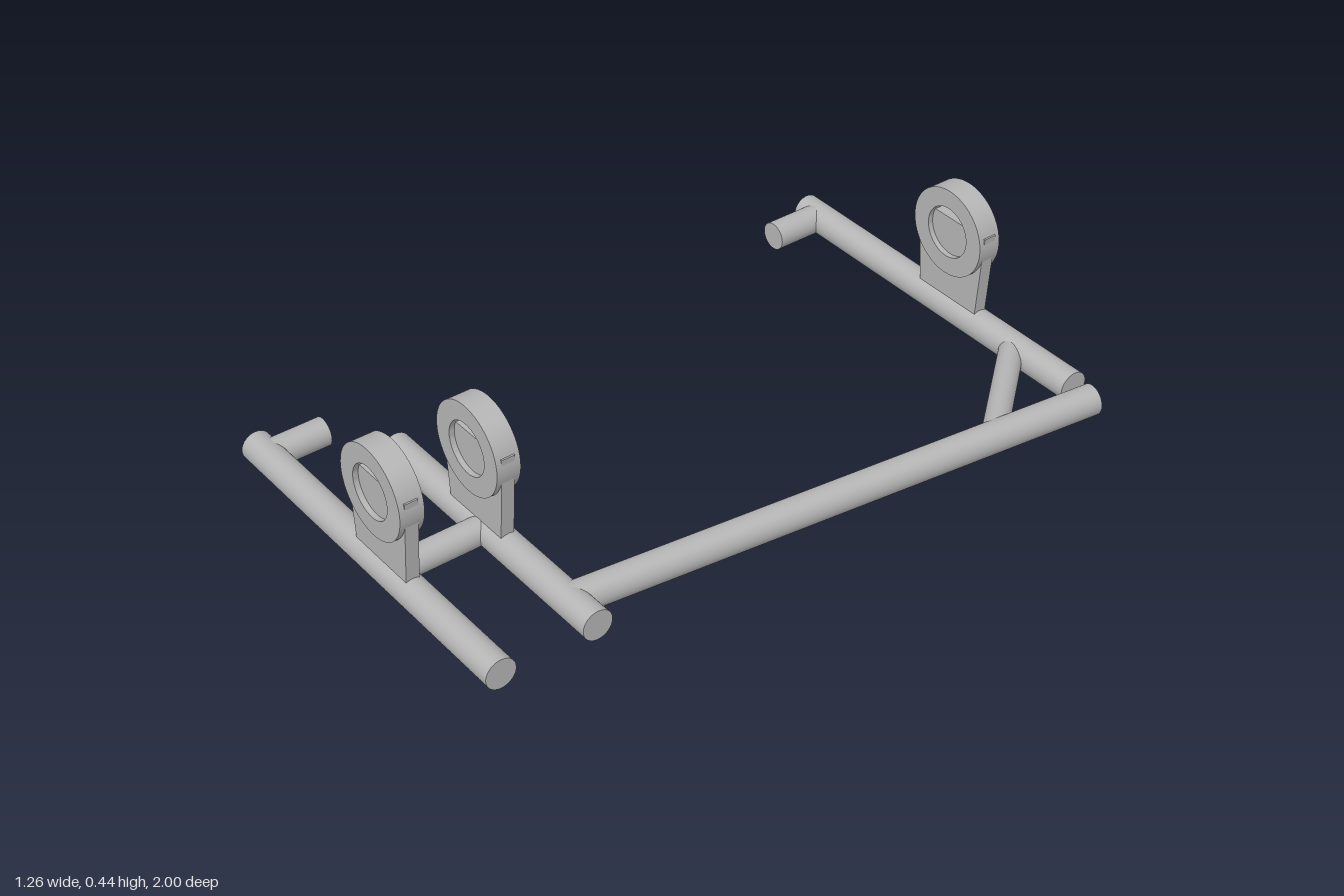
import * as THREE from 'three';
import { toCreasedNormals } from 'three/addons/utils/BufferGeometryUtils.js';

export function createModel() {
  const model = new THREE.Group();
  model.name = 'tubularFrame';
  const steel = new THREE.MeshStandardMaterial({ color: 0xb4b4b4 });
  steel.name = 'grey steel';

  const R = 0.045; // main tube radius, also the height of every tube axis

  // Round tube lying between two points [x, z]
  function tube(name, [x1, z1], [x2, z2], radius = R) {
    const a = new THREE.Vector3(x1, R, z1);
    const b = new THREE.Vector3(x2, R, z2);
    const dir = b.clone().sub(a);
    const mesh = new THREE.Mesh(new THREE.CylinderGeometry(radius, radius, dir.length(), 40), steel);
    mesh.quaternion.setFromUnitVectors(new THREE.Vector3(0, 1, 0), dir.normalize());
    mesh.position.copy(a).add(b).multiplyScalar(0.5);
    mesh.name = name;
    model.add(mesh);
  }

  // Shape extruded along z, centred on z = 0
  function extrude(name, shape, depth) {
    const geo = new THREE.ExtrudeGeometry(shape, { depth, bevelEnabled: false, curveSegments: 32 });
    geo.translate(0, 0, -depth / 2);
    const mesh = new THREE.Mesh(toCreasedNormals(geo, 0.5), steel);
    mesh.name = name;
    return mesh;
  }

  // Bearing eye: thick ring on a tapered plate that partly fills the hole
  function bearing(name, z) {
    const group = new THREE.Group();
    group.name = name;
    const ring = new THREE.Shape().absarc(0, 0, 0.135, 0, Math.PI * 2);
    ring.holes.push(new THREE.Path().absarc(0, 0, 0.078, 0, Math.PI * 2, true));
    const plate = new THREE.Shape([
      new THREE.Vector2(-0.114, -0.235),
      new THREE.Vector2(0.114, -0.235),
      new THREE.Vector2(0.135, 0.037),
      new THREE.Vector2(-0.135, 0.037),
    ]);
    group.add(extrude('bearingRing', ring, 0.072), extrude('bearingPlate', plate, 0.04));
    group.position.set(0.013, 0.309, z);
    model.add(group);
  }

  // Cross rails
  tube('frontRail', [-0.635, 0.955], [0.51, 0.955]);
  tube('innerRail', [-0.4, 0.665], [0.51, 0.665]);
  tube('backRail', [-0.635, -0.955], [0.51, -0.955]);

  // Short inward stubs at the rail ends
  for (const s of [1, -1]) {
    tube(s > 0 ? 'frontStub' : 'backStub', [-0.578, s * 0.955], [-0.578, s * 0.78], 0.042);
  }

  // Link between the two front rails
  tube('railLink', [0.025, 0.665], [0.025, 0.955], 0.04);

  // Long slanted side tube and its brace to the back rail
  tube('sideTube', [0.39, 0.66], [0.583, -0.955]);
  tube('diagonalBrace', [0.27, -0.95], [0.535, -0.637], 0.036);

  // Bearing eyes
  bearing('frontBearing', 0.955);
  bearing('innerBearing', 0.668);
  bearing('backBearing', -0.955);

  return model;
}
